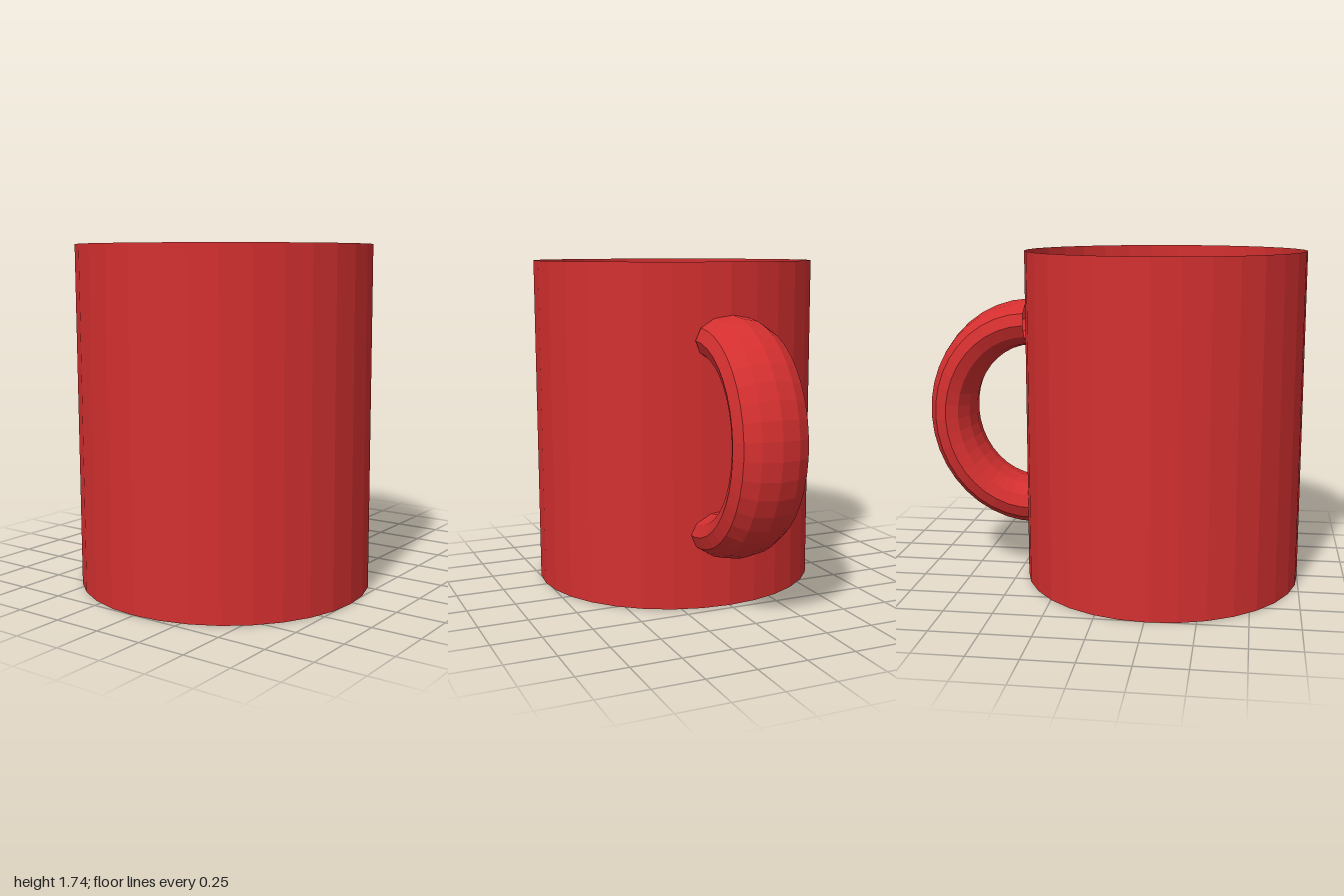
import * as THREE from 'three';

const SIDES = 32;
const HEIGHT = 1.74;
const BODY_Z = 0.27; // the cup sits forward of the handle

// Half ring in the YZ plane bulging towards -z, with a wide oval section
function handleGeometry(ringY, ringZ, tube, halfWidth) {
  const g = new THREE.TorusGeometry(ringY, tube, 12, 20, Math.PI);
  g.rotateZ(-Math.PI / 2);
  g.rotateY(Math.PI / 2);
  const p = g.attributes.position;
  for (let i = 0; i < p.count; i++) {
    // flatten the ring in depth while keeping the tube thickness
    const r = Math.hypot(p.getY(i), p.getZ(i));
    p.setZ(i, p.getZ(i) * (r - ringY + ringZ) / r);
    p.setX(i, p.getX(i) * halfWidth / tube);
  }
  g.computeVertexNormals();
  return g;
}

export function createModel() {
  const group = new THREE.Group();
  group.name = 'mug';
  const red = new THREE.MeshStandardMaterial({
    color: 0xd32f2f, flatShading: true, side: THREE.DoubleSide,
  });
  const add = (name, geometry) => {
    const mesh = new THREE.Mesh(geometry, red);
    mesh.name = name;
    group.add(mesh);
    return mesh;
  };

  // Thin open wall, slightly oval
  const wall = add('wall', new THREE.CylinderGeometry(0.76, 0.76, HEIGHT, SIDES, 1, true));
  wall.scale.z = 0.73 / 0.76;
  wall.position.set(0, HEIGHT / 2, BODY_Z);

  // Floor disc closing the bottom
  const floor = add('floor', new THREE.CircleGeometry(0.76, SIDES).rotateX(Math.PI / 2));
  floor.scale.z = 0.73 / 0.76;
  floor.position.z = BODY_Z;

  // Open-ended handle at the back, leaning slightly
  const handle = add('handle', handleGeometry(0.49, 0.4475, 0.1225, 0.195));
  handle.position.set(0, 0.87, -0.43);
  handle.rotation.set(-0.04, 0, 0.015);

  return group;
}
